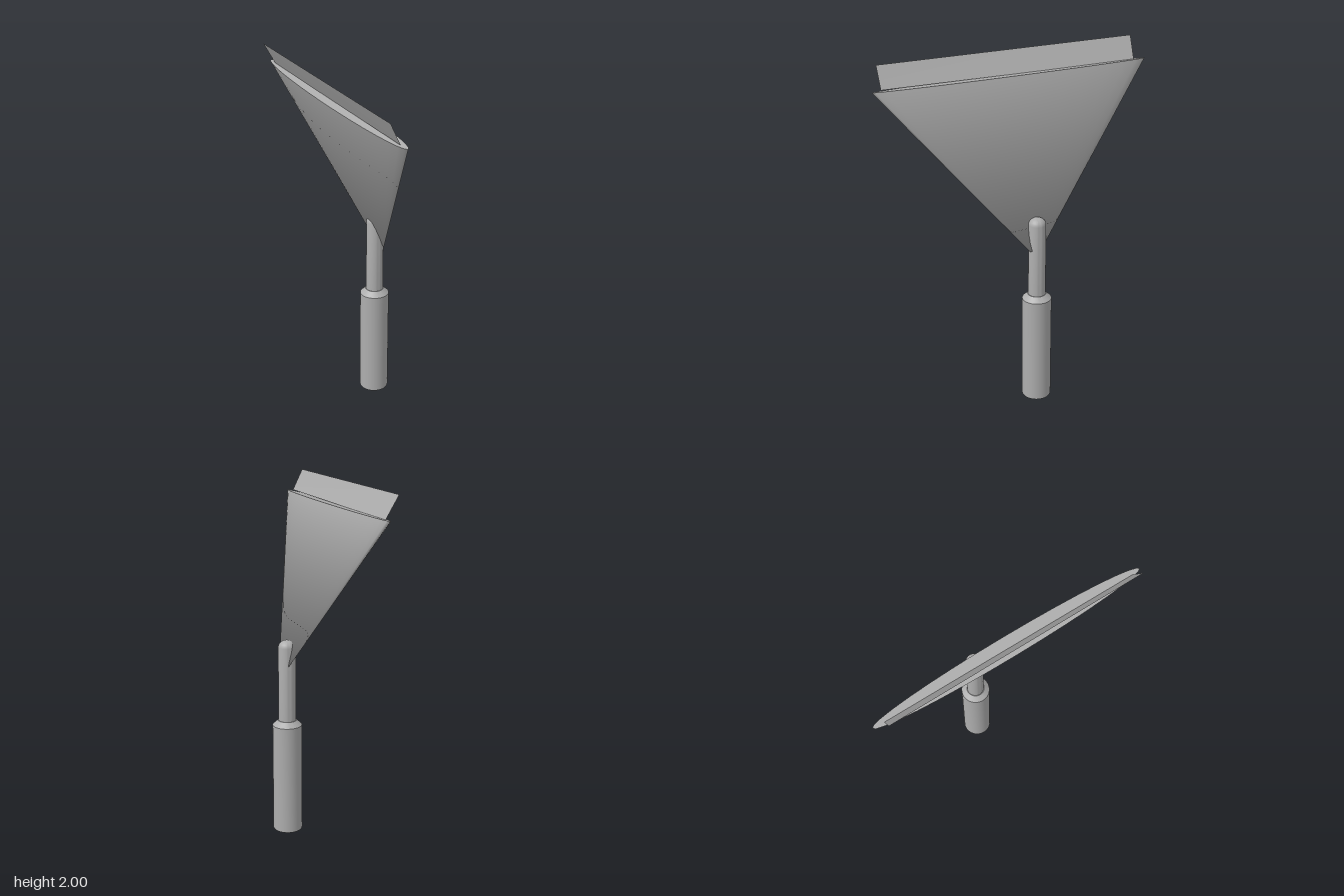
import * as THREE from 'three';
import { toCreasedNormals } from 'three/addons/utils/BufferGeometryUtils.js';

const GREY = 0xadadad;
const material = new THREE.MeshStandardMaterial({ color: GREY });
const doubleSided = new THREE.MeshStandardMaterial({ color: GREY, side: THREE.DoubleSide });
const V = (x, y, z) => new THREE.Vector3(x, y, z);

// Turned part around a vertical axis, with crisp edges kept sharp
function turned(name, profile) {
  const points = profile.map(([r, y]) => new THREE.Vector2(r, y));
  const geometry = toCreasedNormals(new THREE.LatheGeometry(points, 40), 0.55);
  const mesh = new THREE.Mesh(geometry, material);
  mesh.name = name;
  mesh.position.set(0.147, 0, -0.05);
  return mesh;
}

// Ellipse given by the two ends of its long axis and its half thickness
function ellipseRing(front, back, thickness, count) {
  const centre = front.clone().add(back).multiplyScalar(0.5);
  const long = front.clone().sub(centre);
  return Array.from({ length: count }, (_, i) => {
    const a = (i / count) * Math.PI * 2;
    return centre.clone()
      .addScaledVector(long, Math.cos(a))
      .addScaledVector(thickness, Math.sin(a));
  });
}

// Skin between two rings with a crisp upper cap; the lower end is shaded as a
// rounded tip, its normals all pointing along tipNormal
function loft(lower, upper, tipNormal) {
  const n = lower.length;
  const points = [...lower, ...upper, ...lower, ...upper];
  const index = [];
  for (let i = 0; i < n; i++) {
    const j = (i + 1) % n;
    index.push(i, j, n + i, j, n + j, n + i);
    if (i > 0 && i < n - 1) {
      index.push(2 * n, 2 * n + i + 1, 2 * n + i);
      index.push(3 * n, 3 * n + i, 3 * n + i + 1);
    }
  }
  const geometry = new THREE.BufferGeometry().setFromPoints(points);
  geometry.setIndex(index);
  geometry.computeVertexNormals();
  for (let i = 0; i < n; i++) geometry.attributes.normal.setXYZ(i, ...tipNormal.toArray());
  return geometry;
}

export function createModel() {
  const model = new THREE.Group();

  // Round grip with a chamfered shoulder
  model.add(turned('handle', [
    [0, 0], [0.079, 0], [0.083, 0.006], [0.083, 0.632], [0.052, 0.66], [0, 0.66],
  ]));

  // Slim shaft with a rounded tip
  const shaft = [[0.049, 0.64], [0.049, 1.085]];
  for (let i = 1; i <= 6; i++) {
    const a = (i / 6) * Math.PI / 2;
    shaft.push([i === 6 ? 0 : 0.049 * Math.cos(a), 1.085 + 0.04 * Math.sin(a)]);
  }
  model.add(turned('shaft', shaft));

  // Flattened fan that widens from the shaft to a lens-shaped rim
  const count = 32;
  const lower = ellipseRing(V(0.18, 0.938, 0), V(0.16, 0.962, -0.085), V(0.002, 0, 0), count);
  const upper = ellipseRing(V(-0.11, 1.838, 0.78), V(-0.163, 1.882, -0.78), V(0.055, 0.008, 0), count);
  const fan = new THREE.Mesh(loft(lower, upper, V(0.31, -0.95, -0.03).normalize()), doubleSided);
  fan.name = 'fanBody';
  model.add(fan);

  // Thin blade standing out of the rim
  const blade = new THREE.BufferGeometry().setFromPoints([
    V(-0.122, 1.843, 0.728), V(-0.163, 1.877, -0.715),
    V(-0.232, 2.0, -0.717), V(-0.183, 1.963, 0.737),
  ]);
  blade.setIndex([0, 1, 2, 0, 2, 3]);
  blade.computeVertexNormals();
  const bladeMesh = new THREE.Mesh(blade, doubleSided);
  bladeMesh.name = 'blade';
  model.add(bladeMesh);

  return model;
}
